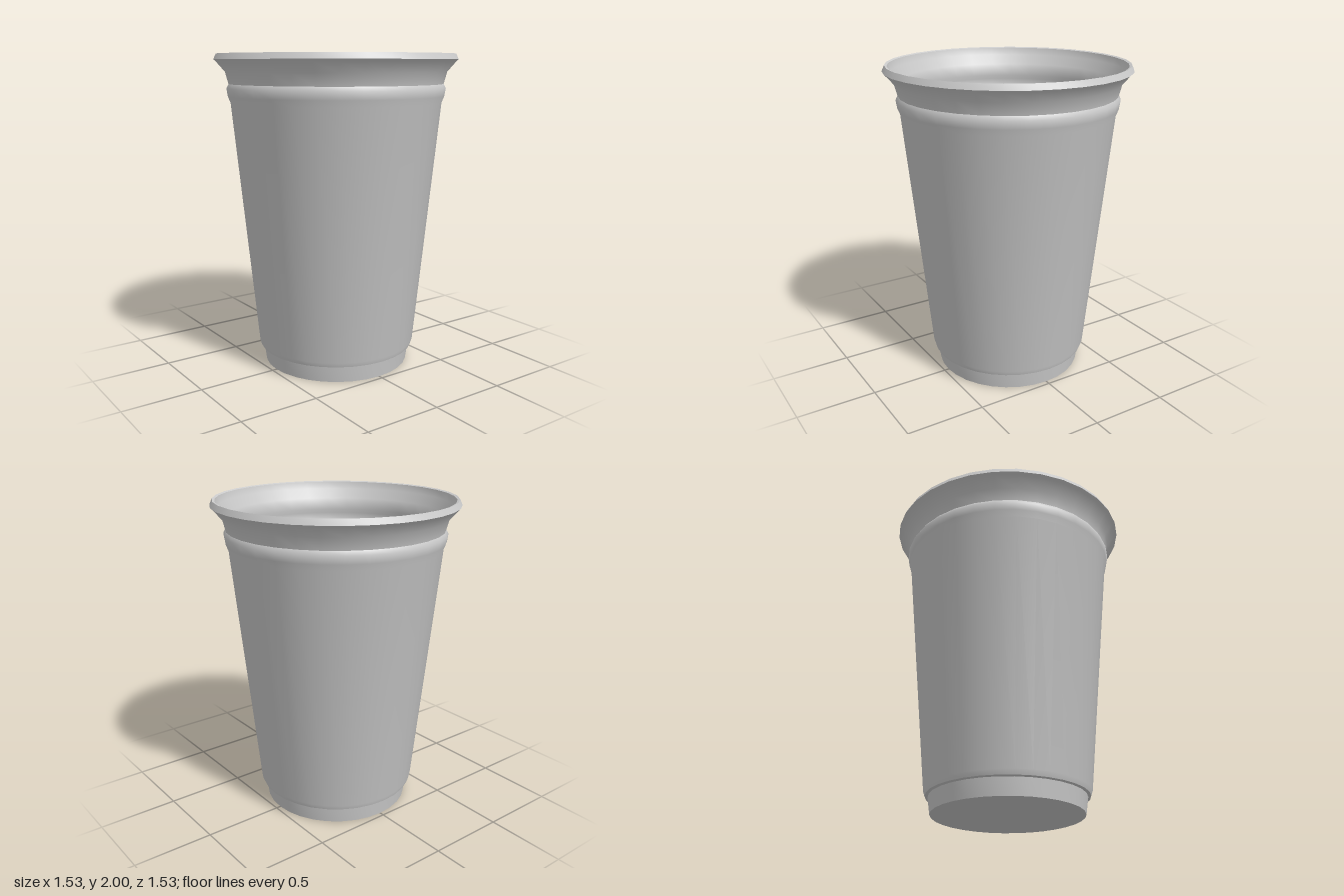
import * as THREE from 'three';
import { toCreasedNormals } from 'three/addons/utils/BufferGeometryUtils.js';

const CUP_SIDES = 32;
const COIN_RADIUS = 0.213;
const COIN_THICKNESS = 0.04;

export function createModel() {
  const group = new THREE.Group();
  const plastic = new THREE.MeshStandardMaterial({ color: 0xcccccc });
  const gold = new THREE.MeshStandardMaterial({ color: 0xc9ae26, flatShading: true });

  // Cup: outer wall from the base up, over the lip, and down the inside to the floor
  const profile = [
    [0, 0], [0.47, 0], [0.485, 0.105], [0.503, 0.11], [0.513, 0.14],
    [0.668, 1.7], [0.684, 1.74], [0.692, 1.79], [0.678, 1.815], [0.698, 1.89],
    [0.75, 1.95], [0.766, 1.965], [0.75, 2], [0.735, 1.995], [0.725, 1.95],
    [0.68, 1.89], [0.66, 1.815], [0.672, 1.79], [0.664, 1.74], [0.65, 1.7],
    [0.495, 0.14], [0.46, 0.11], [0.455, 0.03], [0, 0.03],
  ].map(([r, y]) => new THREE.Vector2(r, y));
  const cup = new THREE.Mesh(
    toCreasedNormals(new THREE.LatheGeometry(profile, CUP_SIDES), 0.75), plastic);
  cup.name = 'cup';
  group.add(cup);

  // Solid filling under the loose coins
  const fill = new THREE.Mesh(new THREE.CylinderGeometry(0.612, 0.5, 1.2, 20), gold);
  fill.name = 'coinFill';
  fill.position.y = 0.74;
  group.add(fill);

  // Loose coins: centre x, y, z and the lean of the face along x and z
  const coins = [
    // upper layer
    [-0.41, 1.64, -0.15, 0.1, 0.06],
    [0.195, 1.67, -0.39, 0.02, 0.17],
    [0.415, 1.6, 0.015, 0.1, 0.16],
    [-0.27, 1.7, 0.26, 0.06, -0.12],
    [0.285, 1.61, 0.325, -0.05, -0.17],
    [-0.12, 1.52, -0.405, -0.03, -0.02],
    // lower layer
    [-0.305, 1.5, -0.06, -0.05, -0.05],
    [0.255, 1.48, -0.03, 0.12, 0.05],
    [0.02, 1.45, 0.27, 0.04, 0.05],
    [0.0, 1.39, -0.08, 0, 0],
  ];
  const coinGeometry = new THREE.CylinderGeometry(COIN_RADIUS, COIN_RADIUS, COIN_THICKNESS, 16);
  const pile = new THREE.Group();
  pile.name = 'coinPile';
  const up = new THREE.Vector3(0, 1, 0);
  coins.forEach(([x, y, z, leanX, leanZ], i) => {
    const coin = new THREE.Mesh(coinGeometry, gold);
    coin.name = `coin${i + 1}`;
    coin.position.set(x, y, z);
    coin.quaternion.setFromUnitVectors(up, new THREE.Vector3(leanX, 1, leanZ).normalize());
    pile.add(coin);
  });
  group.add(pile);

  return group;
}
